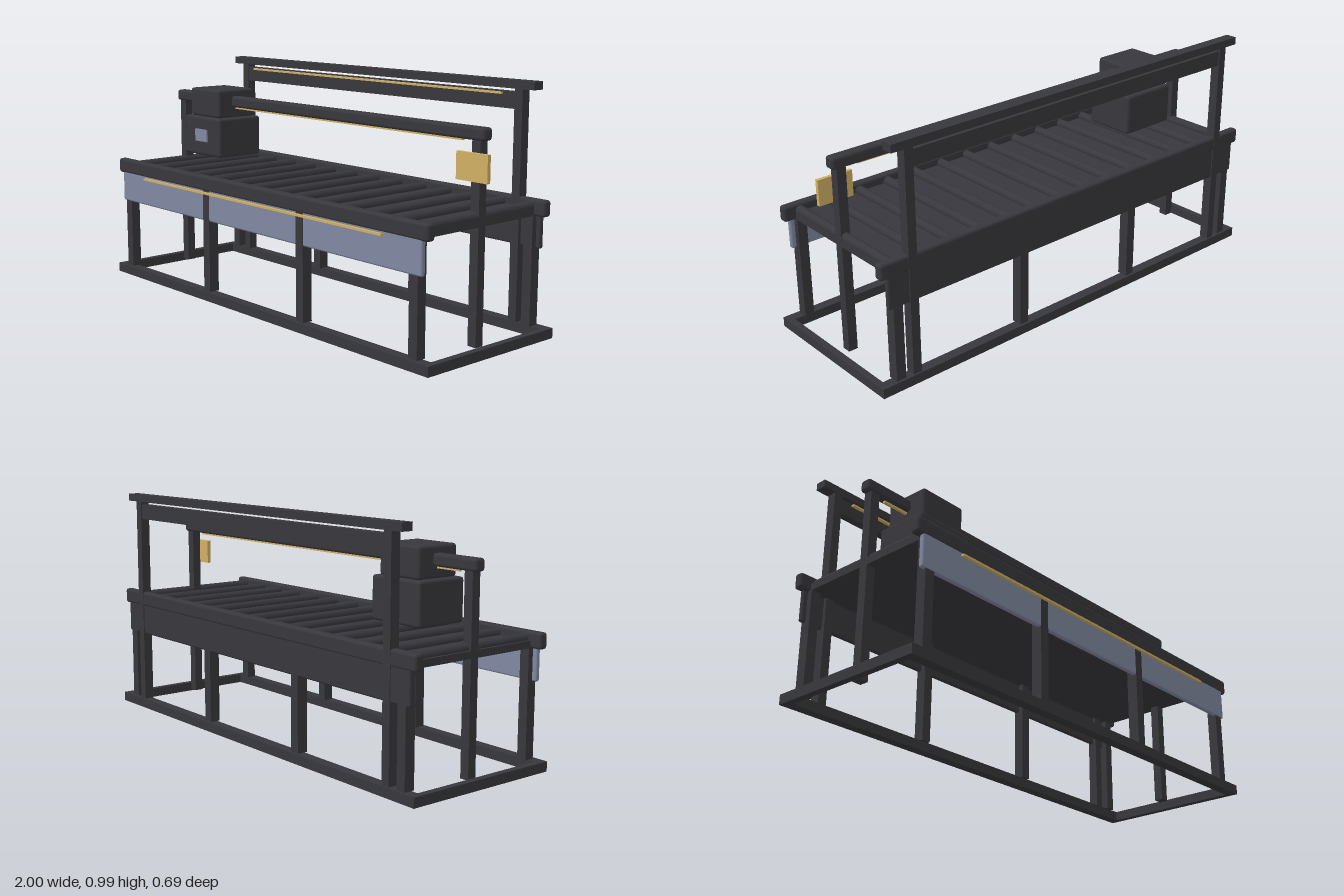
import * as THREE from 'three';
import { RoundedBoxGeometry } from 'three/addons/geometries/RoundedBoxGeometry.js';

const mat = (name, color) => {
  const m = new THREE.MeshStandardMaterial({ color });
  m.name = name;
  return m;
};

export function createModel() {
  const model = new THREE.Group();
  model.name = 'rollerConveyor';
  const dark = mat('charcoal', 0x38373d);
  const steel = mat('blueGrey', 0x8188a0);
  const brass = mat('brass', 0xcfb063);

  // Box given by its limits on each axis; r rounds the edges
  const box = (name, material, [x0, x1], [y0, y1], [z0, z1], r = 0) => {
    const s = [x1 - x0, y1 - y0, z1 - z0];
    const geo = r ? new RoundedBoxGeometry(...s, 2, r) : new THREE.BoxGeometry(...s);
    const mesh = new THREE.Mesh(geo, material);
    mesh.name = name;
    mesh.position.set((x0 + x1) / 2, (y0 + y1) / 2, (z0 + z1) / 2);
    model.add(mesh);
    return mesh;
  };
  const around = (c, half) => [c - half, c + half];

  // Floor frame
  for (const s of [-1, 1]) {
    box('floorRail', dark, [-1, 1], [0, 0.04], around(s * 0.325, 0.022));
    box('floorCrossBar', dark, around(s * 0.986, 0.014), [0, 0.04], [-0.303, 0.303]);
  }

  // Legs along both long sides
  [-0.92, -0.31, 0.3, 0.91].forEach((x, i) => {
    const front = i === 1 || i === 2 ? 0.337 : 0.333;
    box('frontLeg', dark, around(x, 0.021), [0.04, 0.48], [0.291, front]);
    box('backLeg', dark, around(x, 0.021), [0.04, 0.48], [-0.336, -0.291]);
  });

  // Side rails and skirts
  for (const s of [-1, 1]) {
    box('sideRail', dark, [-0.99, 0.98], [0.475, 0.54], around(s * 0.319, 0.02), 0.012);
    box('sideSkirt', s > 0 ? steel : dark, [-0.96, 0.95], [0.347, 0.49], around(s * 0.325, 0.011), 0.008);
  }
  box('railTrim', brass, [-0.77, 0.76], [0.464, 0.473], [0.335, 0.348]);

  // Bed with rollers
  box('bed', dark, [-0.94, 0.93], [0.476, 0.505], [-0.305, 0.305]);
  const rollerGeo = new THREE.CylinderGeometry(0.02, 0.02, 0.61, 16);
  for (let i = 0; i < 14; i++) {
    const roller = new THREE.Mesh(rollerGeo, dark);
    roller.name = 'roller';
    roller.rotation.x = Math.PI / 2;
    roller.position.set(-0.91 + i * 0.14, 0.511, 0);
    model.add(roller);
  }

  // Middle gantry
  for (const x of [-0.92, 0.91]) {
    box('gantryPost', dark, around(x, 0.02), [0.02, 0.8], around(0, 0.019));
  }
  box('gantryBeam', dark, [-0.96, 0.95], [0.792, 0.841], around(0, 0.025), 0.012);
  box('beamTrim', brass, [-0.86, 0.83], [0.784, 0.793], around(0, 0.006));

  // Travelling head with screen
  box('headTop', dark, [-0.745, -0.53], [0.745, 0.871], [-0.098, 0.098], 0.012);
  box('headBody', dark, [-0.77, -0.505], [0.571, 0.746], [-0.115, 0.115], 0.012);
  box('headScreen', steel, [-0.682, -0.595], [0.635, 0.69], [0.113, 0.122]);

  // Control panel on the left gantry post
  box('controlPanel', brass, [0.835, 0.985], [0.645, 0.75], [0.026, 0.042]);

  // Tall rear frame
  for (const x of [-0.843, 0.838]) {
    box('rearPost', dark, around(x, 0.019), [0.04, 0.955], [-0.34, -0.299]);
  }
  box('rearTopBar', dark, [-0.92, 0.915], [0.953, 0.985], [-0.345, -0.296]);
  box('rearLightBar', dark, [-0.83, 0.83], [0.875, 0.94], [-0.335, -0.302]);
  box('rearTrim', brass, [-0.77, 0.76], [0.929, 0.937], [-0.303, -0.288]);

  return model;
}
